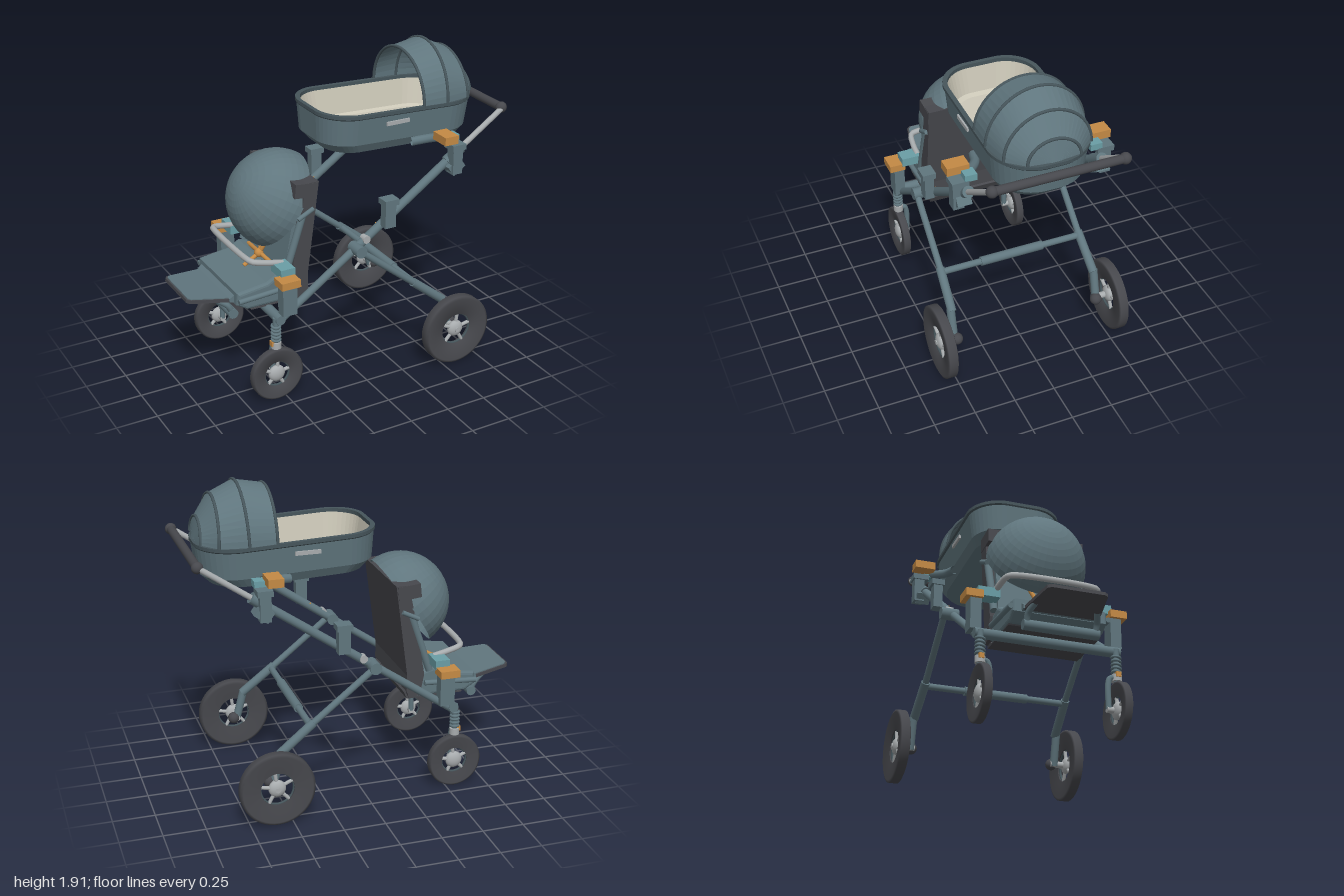
import * as THREE from 'three';

const V = (x, y, z) => new THREE.Vector3(x, y, z);
const mat = (name, color) => {
  const m = new THREE.MeshStandardMaterial({ color, side: THREE.DoubleSide });
  m.name = name;
  return m;
};

export function createModel() {
  const slate = mat('slate', 0x60767e), dark = mat('charcoal', 0x47484d), silver = mat('silver', 0xa8acae);
  const orange = mat('orange', 0xc48a45), teal = mat('teal', 0x6a9ea6), cream = mat('cream', 0xcbc7b7);
  const rib = mat('dark slate', 0x46555b);
  const root = new THREE.Group();
  root.name = 'stroller';

  // ---- helpers ----
  const add = (name, geo, m, parent = root) => {
    const mesh = new THREE.Mesh(geo, m);
    mesh.name = name;
    parent.add(mesh);
    return mesh;
  };
  const rod = (name, a, b, r, m, parent = root, r2 = r) => {
    const d = b.clone().sub(a);
    const mesh = add(name, new THREE.CylinderGeometry(r2, r, d.length(), 16), m, parent);
    mesh.position.copy(a).add(b).multiplyScalar(0.5);
    mesh.quaternion.setFromUnitVectors(V(0, 1, 0), d.normalize());
    return mesh;
  };
  // box from min and max corners
  const box = (name, x0, x1, y0, y1, z0, z1, m) => {
    const mesh = add(name, new THREE.BoxGeometry(x1 - x0, y1 - y0, Math.abs(z1 - z0)), m);
    mesh.position.set((x0 + x1) / 2, (y0 + y1) / 2, (z0 + z1) / 2);
    return mesh;
  };
  const ball = (name, p, r, m) => add(name, new THREE.SphereGeometry(r, 20, 12), m).position.copy(p);
  const tube = (name, pts, r, m) =>
    add(name, new THREE.TubeGeometry(new THREE.CatmullRomCurve3(pts, false, 'centripetal'), 40, r, 10), m);
  // side profile (x, y) extruded across z
  const prism = (name, pts, half, m, bevel = 0) => {
    const g = new THREE.ExtrudeGeometry(new THREE.Shape(pts.map(p => new THREE.Vector2(...p))), {
      depth: 2 * (half - bevel), bevelEnabled: bevel > 0, bevelSize: bevel, bevelThickness: bevel,
      bevelOffset: -bevel, bevelSegments: 3 });
    g.translate(0, 0, bevel - half);
    return add(name, g, m);
  };
  // faceted skin through a list of rings with equal point counts
  const loft = (rings, closed) => {
    const n = rings[0].length, idx = [];
    for (let i = 0; i < rings.length - 1; i++)
      for (let j = 0; j < (closed ? n : n - 1); j++) {
        const k = (j + 1) % n, a = i * n + j, b = i * n + k;
        idx.push(a, a + n, b, b, a + n, b + n);
      }
    const g = new THREE.BufferGeometry().setFromPoints(rings.flat());
    g.setIndex(idx);
    const flat = g.toNonIndexed();
    flat.computeVertexNormals();
    return flat;
  };

  // ---- wheels ----
  const wheel = (name, x, z, R, hole, w) => {
    const g = new THREE.Group();
    g.name = name;
    g.position.set(x, R, z);
    root.add(g);
    const p = [[hole, -w * 0.5], [R * 0.93, -w], [R, -w * 0.8], [R, w * 0.8], [R * 0.93, w], [hole, w * 0.5], [hole, -w * 0.5]];
    const tyre = new THREE.LatheGeometry(p.map(q => new THREE.Vector2(...q)), 48).rotateX(Math.PI / 2);
    add('tyre', tyre, dark, g);
    add('rim', new THREE.TorusGeometry(hole, 0.008, 8, 40), rib, g);
    const hub = add('hub', new THREE.SphereGeometry(0.052, 20, 14), silver, g);
    hub.scale.z = 0.55;
    rod('hubCap', V(0, 0, -w), V(0, 0, w), 0.016, silver, g);
    for (let i = 0; i < 5; i++) {
      const a = i * Math.PI * 0.4 + 0.2;
      rod('spoke', V(0, 0, 0), V(hole * Math.cos(a), hole * Math.sin(a), 0), 0.011, silver, g);
    }
  };

  // ---- frame, mirrored on both sides ----
  const rail = x => 0.87 + 0.69 * x; // rail height
  for (const s of [1, -1]) {
    const z = 0.4 * s;
    wheel('frontWheel', -0.555, z, 0.163, 0.08, 0.025);
    wheel('rearWheel', 0.59, 0.55 * s, 0.222, 0.1, 0.032);

    rod('lowerRail', V(-0.54, rail(-0.54), z), V(0, rail(0), z), 0.023, slate);
    rod('upperRail', V(-0.03, rail(-0.03), z), V(0.64, rail(0.64), z), 0.026, slate);
    rod('handleTube', V(0.62, rail(0.62), z), V(0.965, 1.535, z), 0.017, silver);
    rod('railCollar', V(0.58, rail(0.58), z), V(0.68, rail(0.68), z), 0.034, slate);
    ball('handleEnd', V(0.968, 1.535, 0.385 * s), 0.034, dark);

    // folding joint and rear leg
    rod('foldJoint', V(-0.03, 0.85, 0.37 * s), V(-0.03, 0.85, 0.475 * s), 0.036, slate);
    rod('jointCover', V(0.03, 0.9, 0.385 * s), V(0.03, 0.9, 0.43 * s), 0.024, silver);
    rod('rearLeg', V(-0.05, 0.865, 0.45 * s), V(0.36, 0.54, 0.45 * s), 0.02, slate);
    rod('lowerRearLeg', V(0.34, 0.556, 0.45 * s), V(0.55, 0.39, 0.46 * s), 0.027, slate);
    rod('rearStrut', V(0.54, 0.4, 0.465 * s), V(0.59, 0.21, 0.465 * s), 0.025, slate);
    rod('rearAxle', V(0.59, 0.222, 0.44 * s), V(0.59, 0.222, 0.55 * s), 0.02, silver);
    ball('brakeKnob', V(0.61, 0.225, 0.455 * s), 0.036, dark);

    // sprung front fork
    rod('frontPost', V(-0.555, 0.33, z), V(-0.555, 0.53, z), 0.018, slate);
    for (let i = 0; i < 5; i++) {
      const coil = add('springCoil', new THREE.TorusGeometry(0.024, 0.008, 8, 18), slate);
      coil.rotation.x = Math.PI / 2 + 0.12;
      coil.position.set(-0.555, 0.39 + i * 0.022, z);
    }
    rod('forkCollar', V(-0.555, 0.335, z), V(-0.555, 0.375, z), 0.03, silver);
    box('forkLock', -0.59, -0.565, 0.355, 0.385, 0.385 * s, 0.415 * s, orange);
    tube('frontFork', [V(-0.555, 0.355, z), V(-0.555, 0.35, 0.36 * s), V(-0.555, 0.31, 0.347 * s), V(-0.555, 0.165, 0.347 * s)], 0.017, slate);
    rod('frontAxle', V(-0.555, 0.163, 0.335 * s), V(-0.555, 0.163, z), 0.018, silver);

    // adaptor posts: seat, spare and bassinet
    box('seatPost', -0.53, -0.44, 0.55, 0.735, 0.385 * s, 0.45 * s, slate);
    box('seatLatch', -0.55, -0.43, 0.735, 0.78, 0.38 * s, 0.48 * s, orange);
    box('seatMount', -0.515, -0.425, 0.765, 0.82, 0.27 * s, 0.4 * s, teal);
    box('sparePost', 0.125, 0.195, 0.965, 1.12, 0.42 * s, 0.475 * s, slate);
    box('spareCap', 0.115, 0.207, 1.11, 1.145, 0.41 * s, 0.49 * s, slate);
    box('spareButton', 0.11, 0.14, 0.955, 0.975, 0.38 * s, 0.41 * s, orange);
    box('bassinetPost', 0.58, 0.645, 1.21, 1.38, 0.41 * s, 0.475 * s, slate);
    box('bassinetPostFoot', 0.57, 0.665, 1.215, 1.285, 0.375 * s, 0.46 * s, slate).rotation.z = 0.6;
    box('bassinetPostCap', 0.57, 0.66, 1.36, 1.395, 0.385 * s, 0.485 * s, slate);
    box('bassinetLatch', 0.51, 0.6, 1.41, 1.46, 0.36 * s, 0.49 * s, orange);
    box('bassinetMount', 0.59, 0.66, 1.39, 1.43, 0.34 * s, 0.41 * s, teal);
    tube('bassinetArm', [V(0.42, 1.38, 0.265 * s), V(0.5, 1.39, 0.29 * s), V(0.6, 1.415, 0.36 * s)], 0.027, slate);

    // seat side parts
    box('headWing', -0.365, -0.225, 1.185, 1.27, 0.215 * s, 0.295 * s, dark).rotation.z = -0.1;
    rod('seatHinge', V(-0.43, 0.72, 0.28 * s), V(-0.31, 1.08, 0.28 * s), 0.022, slate);
    rod('canopyArm', V(-0.35, 1.06, 0.297 * s), V(-0.25, 1.11, 0.297 * s), 0.014, slate);
    rod('seatSideRod', V(-0.73, 0.62, 0.285 * s), V(-0.4, 0.64, 0.285 * s), 0.016, slate);
    tube('footrestArm', [V(-0.735, 0.515, 0.2 * s), V(-0.765, 0.57, 0.2 * s), V(-0.82, 0.61, 0.18 * s)], 0.018, slate);
    // harness straps
    rod('shoulderStrap', V(-0.455, 0.75, 0), V(-0.345, 1.02, 0.09 * s), 0.013, orange);
    rod('waistStrap', V(-0.455, 0.75, 0), V(-0.43, 0.72, 0.2 * s), 0.013, orange);
  }
  rod('handleBar', V(0.968, 1.535, -0.385), V(0.968, 1.535, 0.385), 0.026, dark);
  rod('frontCrossbar', V(-0.535, 0.52, -0.43), V(-0.535, 0.52, 0.43), 0.03, slate);
  rod('rearCrossbar', V(0.36, 0.54, -0.45), V(0.36, 0.54, 0.45), 0.02, slate);
  rod('crossbarSleeve', V(0.36, 0.54, -0.2), V(0.36, 0.54, 0.2), 0.028, slate);

  // ---- seat ----
  prism('backPanel', [[-0.212, 1.27], [-0.29, 1.27], [-0.325, 1.1], [-0.395, 0.7], [-0.37, 0.57], [-0.3, 0.56], [-0.285, 0.6], [-0.287, 0.7]], 0.292, dark);
  prism('backCushion', [[-0.3, 1.2], [-0.33, 1.2], [-0.425, 0.7], [-0.38, 0.7]], 0.25, slate);
  prism('seatBase', [[-0.73, 0.665], [-0.735, 0.59], [-0.67, 0.55], [-0.36, 0.55], [-0.34, 0.7], [-0.47, 0.73], [-0.54, 0.69]], 0.275, slate, 0.02);
  prism('seatUnderside', [[-0.65, 0.551], [-0.645, 0.543], [-0.295, 0.543], [-0.275, 0.59], [-0.3, 0.61], [-0.36, 0.551]], 0.27, dark);
  rod('crotchStrap', V(-0.455, 0.75, 0), V(-0.56, 0.69, 0), 0.013, orange);
  ball('harnessBuckle', V(-0.46, 0.75, 0), 0.028, orange);
  tube('bumperBar', [V(-0.45, 0.81, 0.29), V(-0.55, 0.83, 0.285), V(-0.63, 0.846, 0.265), V(-0.645, 0.85, 0.22),
    V(-0.645, 0.85, -0.22), V(-0.63, 0.846, -0.265), V(-0.55, 0.83, -0.285), V(-0.45, 0.81, -0.29)], 0.018, silver);

  // footrest: tapered plate with a dark underside
  rod('footrestPivot', V(-0.735, 0.515, -0.22), V(-0.735, 0.515, 0.22), 0.03, slate);
  const plate = (grow, t) => new THREE.ExtrudeGeometry(new THREE.Shape([[-0.25, -0.15], [-0.235, -0.17], [0, -0.215],
    [0, 0.215], [-0.235, 0.17], [-0.25, 0.15]].map(([x, y]) => new THREE.Vector2(x - (x < 0 ? grow : 0), y * (1 + grow * 4)))),
  { depth: t, bevelEnabled: false }).rotateX(Math.PI / 2);
  const footrest = new THREE.Group();
  footrest.name = 'footrest';
  footrest.position.set(-0.745, 0.622, 0);
  footrest.rotation.z = -0.12;
  root.add(footrest);
  add('footrestTop', plate(-0.006, 0.014), slate, footrest);
  add('footrestEdge', plate(0.004, 0.02), dark, footrest).position.y = -0.006;
  prism('seatApron', [[-0.76, 0.622], [-0.76, 0.6], [-0.72, 0.59], [-0.7, 0.66]], 0.225, slate);

  // seat canopy: tilted open half sphere
  const dome = new THREE.SphereGeometry(0.297, 36, 12, 0, Math.PI * 2, 0, Math.PI / 2).toNonIndexed();
  dome.computeVertexNormals();
  const canopy = add('seatCanopy', dome, slate);
  canopy.position.set(-0.34, 1.08, 0);
  canopy.rotation.z = 1.0;

  // ---- bassinet ----
  const tub = new THREE.Group();
  tub.name = 'bassinet';
  tub.position.set(0.395, 1.59, 0);
  tub.rotation.z = -0.038;
  root.add(tub);
  const ring = (hl, hw, y) => Array.from({ length: 40 }, (_, i) => {
    const t = (i + 0.5) / 40 * Math.PI * 2, c = Math.cos(t), s = Math.sin(t), r = hw * (c > 0 ? 0.86 : 0.7);
    return V(Math.sign(c) * (hl - r) + r * c, y, Math.sign(s) * (hw - r) + r * s);
  });
  add('bassinetShell', loft([ring(0, 0, -0.235), ring(0.455, 0.235, -0.235), ring(0.508, 0.265, -0.18), ring(0.525, 0.285, -0.01)], true), slate, tub);
  add('bassinetRim', loft([ring(0.524, 0.284, -0.02), ring(0.53, 0.295, -0.012), ring(0.53, 0.295, 0.008),
    ring(0.505, 0.268, 0.008), ring(0.505, 0.268, -0.02)], true), rib, tub);
  add('bassinetLining', loft([ring(0.506, 0.268, -0.012), ring(0.47, 0.238, -0.17), ring(0.44, 0.215, -0.18), ring(0, 0, -0.18)], true), cream, tub);
  for (const s of [1, -1]) box('bassinetHandle', 0.24, 0.39, 1.517, 1.54, 0.272 * s, 0.29 * s, silver);

  // bassinet hood: arches joined into a shell, with piping on each arch
  const arch = (x, lean, h, w) => Array.from({ length: 25 }, (_, i) => {
    const t = i / 24 * Math.PI;
    return V(x + lean * Math.sin(t), 1.585 + h * Math.sin(t), w * Math.cos(t));
  });
  const arches = [arch(0.49, 0, 0.285, 0.288), arch(0.65, 0.01, 0.318, 0.29), arch(0.815, -0.012, 0.25, 0.255),
    arch(0.9, -0.012, 0.125, 0.155), arch(0.918, 0, 0, 0.02)];
  add('hood', loft(arches, false), slate);
  arches.slice(0, 4).forEach(a => tube('hoodPiping', a, 0.009, rib));

  return root;
}
